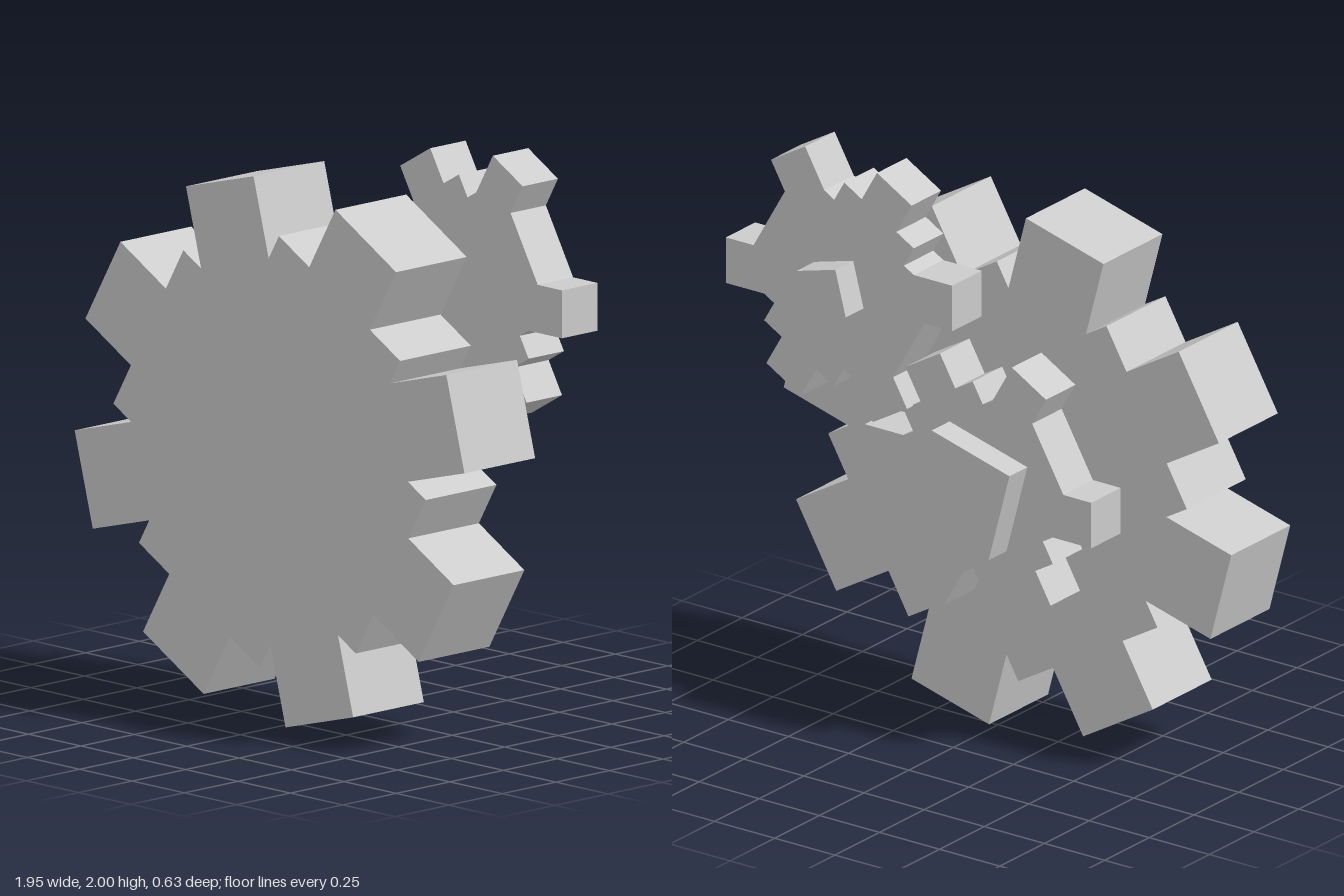
import * as THREE from 'three';

const mat = new THREE.MeshStandardMaterial({ color: 0xcccccc, flatShading: true });

// Mirror one quadrant of an outline over both axes and extrude it from z0 to z1
function gear(name, quadrant, size, angle, x, y, z0, z1) {
  const flip = (sx, sy) => quadrant.map(([a, b]) => new THREE.Vector2(a * sx * size, b * sy * size));
  const outline = [
    ...flip(1, 1), ...flip(-1, 1).reverse(),
    ...flip(-1, -1), ...flip(1, -1).reverse(),
  ];
  const geo = new THREE.ExtrudeGeometry(new THREE.Shape(outline), { depth: z1 - z0, bevelEnabled: false });
  const mesh = new THREE.Mesh(geo, mat);
  mesh.name = name;
  mesh.position.set(x, y, z0);
  mesh.rotation.z = THREE.MathUtils.degToRad(angle);
  return mesh;
}

// Square axle stub, turned about z
function axle(name, size, angle, x, y, z0, z1) {
  const mesh = new THREE.Mesh(new THREE.BoxGeometry(size, size, z1 - z0), mat);
  mesh.name = name;
  mesh.position.set(x, y, (z0 + z1) / 2);
  mesh.rotation.z = THREE.MathUtils.degToRad(angle);
  return mesh;
}

export function createModel() {
  const group = new THREE.Group();
  group.name = 'gearTrain';

  // Eight square teeth; every second one rises from a stepped shoulder
  const eightTeeth = [
    [2.75, 0.5], [2, 0.5], [2, 1], [1.707, 1], [2.298, 1.591],
    [1.591, 2.298], [1, 1.707], [1, 2], [0.5, 2], [0.5, 2.75],
  ];
  // Six teeth with a flat shoulder on two opposite sides
  const sixTeeth = [
    [0.335, 0.13], [0.435, 0.188], [0.353, 0.33], [0.215, 0.25],
    [0.167, 0.25], [0.167, 0.333], [0.083, 0.333], [0.083, 0.46],
  ];

  // Large gear with a smaller one on the same axle
  const [bx, by] = [-0.05, 0.935];
  group.add(gear('largeGear', eightTeeth, 0.334, 60, bx, by, -0.015, 0.315));
  group.add(gear('middleGear', sixTeeth, 1, -30, bx, by, -0.18, -0.015));
  group.add(axle('largeAxle', 0.335, 15, bx, by, -0.28, -0.1));

  // Upper gear on its own axle
  const [ux, uy] = [0.502, 1.54];
  group.add(gear('upperGear', sixTeeth, 1, 30, ux, uy, -0.215, -0.05));
  group.add(axle('upperAxle', 0.167, -15, ux, uy - 0.003, -0.315, -0.1));

  return group;
}
